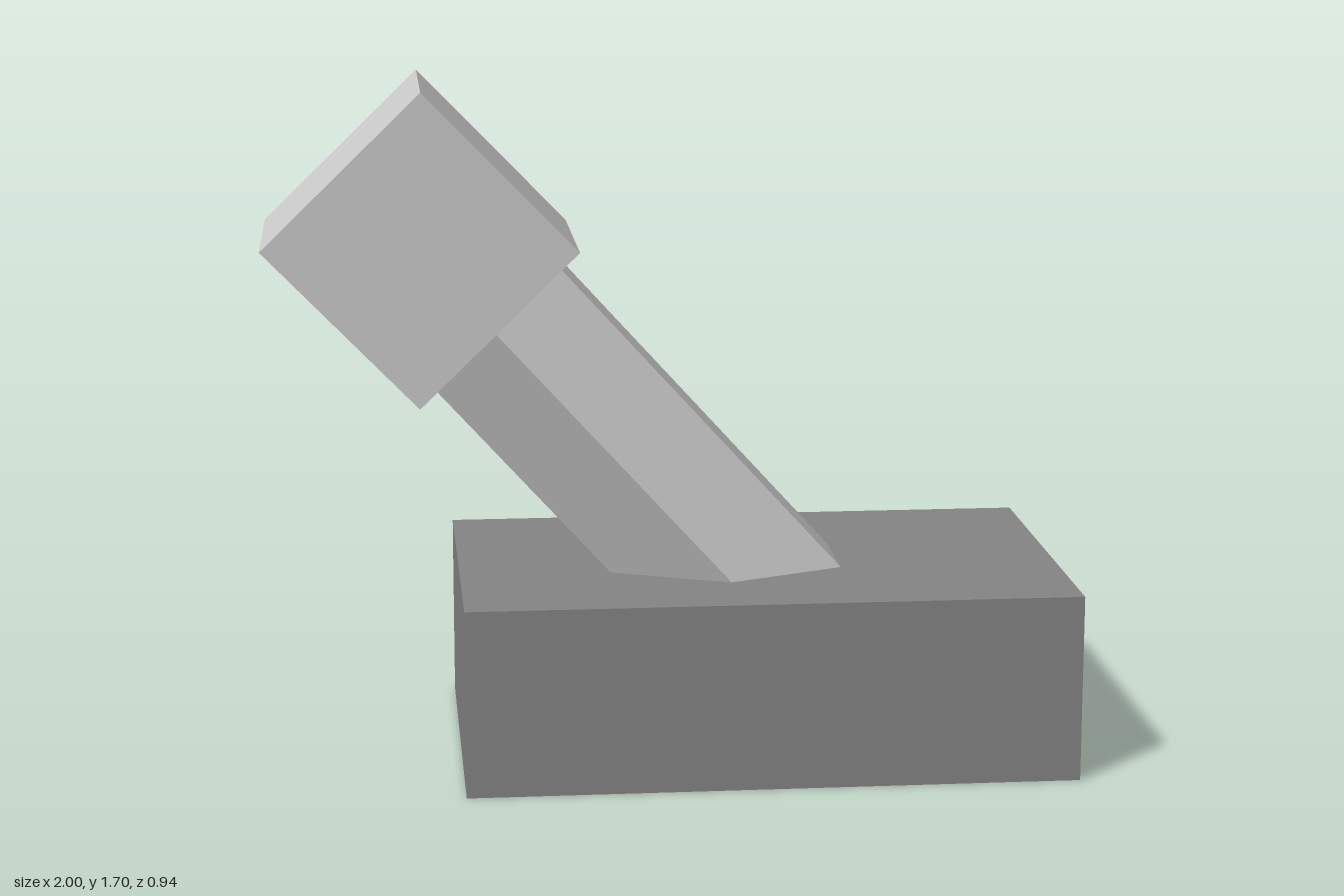
import * as THREE from 'three';

export function createModel() {
  const model = new THREE.Group();
  const light = new THREE.MeshStandardMaterial({ color: 0xcccccc, flatShading: true });
  const dark = new THREE.MeshStandardMaterial({ color: 0x858585, flatShading: true });

  function add(name, geometry, material, x, y, tilt = 0) {
    const mesh = new THREE.Mesh(geometry, material);
    mesh.name = name;
    mesh.position.set(x, y, 0);
    mesh.rotation.z = THREE.MathUtils.degToRad(tilt);
    model.add(mesh);
  }

  // Heavy rectangular foot
  add('base', new THREE.BoxGeometry(1.52, 0.47, 0.935), dark, 0.237, 0.235);

  // Leaning hexagonal post, sunk into the base and into the head
  const tilt = 42.3;
  const a = THREE.MathUtils.degToRad(tilt);
  const from = -0.2, to = 1.05, mid = (from + to) / 2;
  add('post', new THREE.CylinderGeometry(0.25, 0.25, to - from, 6), light,
    0.15 - Math.sin(a) * mid, 0.47 + Math.cos(a) * mid, tilt);

  // Cube at the top of the post
  add('head', new THREE.BoxGeometry(0.546, 0.546, 0.55), light, -0.612, 1.316, 44.1);

  return model;
}
